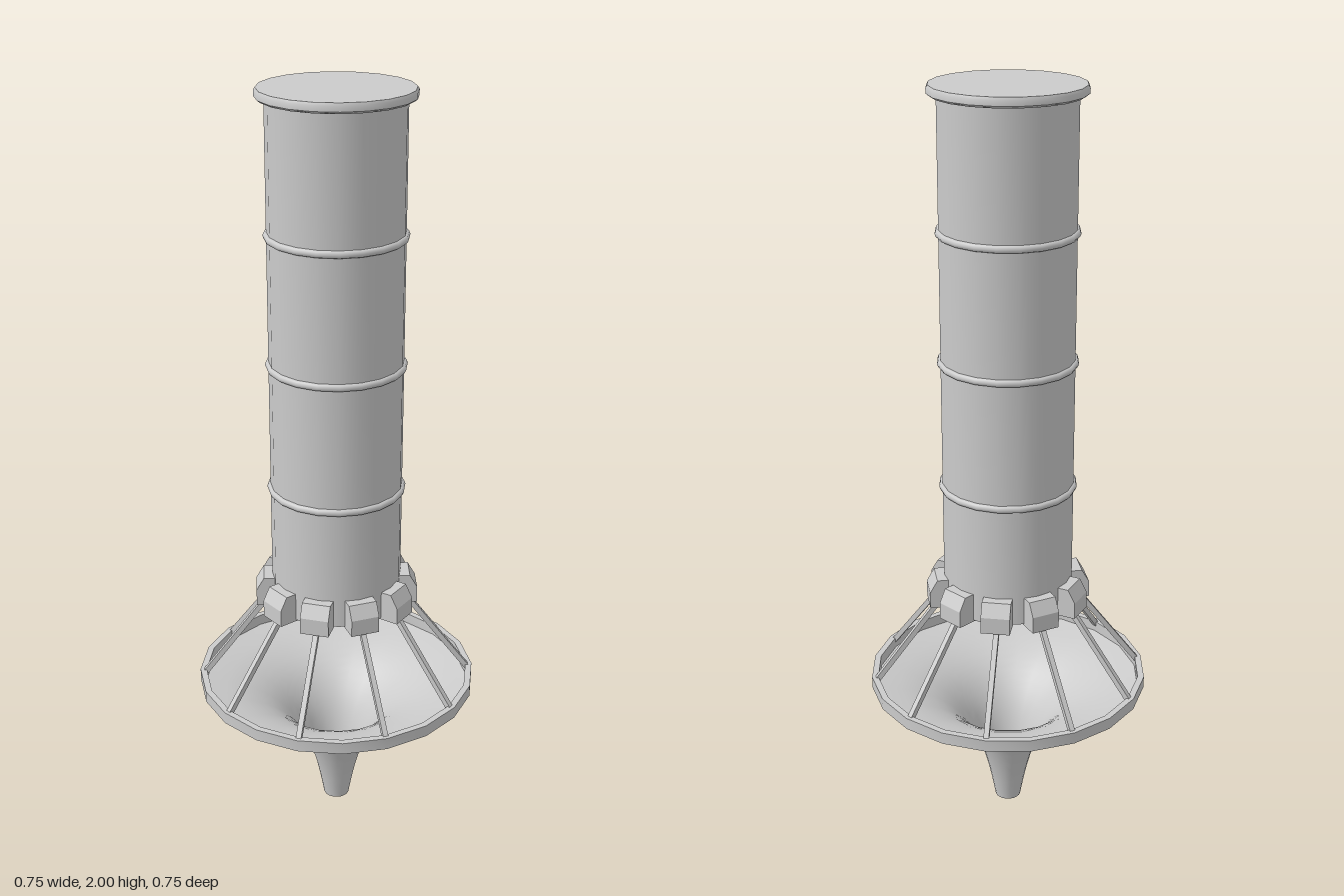
import * as THREE from 'three';
import { toCreasedNormals } from 'three/addons/utils/BufferGeometryUtils.js';

const SIDES = 20;

export function createModel() {
  const model = new THREE.Group();
  const mat = new THREE.MeshStandardMaterial({ color: 0xcccccc });
  const thinMat = new THREE.MeshStandardMaterial({ color: 0xcccccc, side: THREE.DoubleSide });

  const add = (name, geometry, parent = model, material = mat) => {
    const mesh = new THREE.Mesh(geometry, material);
    mesh.name = name;
    parent.add(mesh);
    return mesh;
  };
  const lathe = (points, crease = 0.6) => toCreasedNormals(
    new THREE.LatheGeometry(points.map(([r, y]) => new THREE.Vector2(r, y)), SIDES), crease);

  // Flared funnel, one thin skin seen from inside and outside
  const flare = new THREE.SplineCurve([
    [0.035, 0], [0.055, 0.1], [0.086, 0.2], [0.127, 0.27],
    [0.185, 0.325], [0.265, 0.363], [0.36, 0.385],
  ].map(([r, y]) => new THREE.Vector2(r, y))).getPoints(18).map((p) => [p.x, p.y]);
  add('funnel', lathe([[0, 0], ...flare]), model, thinMat);

  // Flat band around the funnel mouth
  add('funnelRim', lathe([[0.358, 0.383], [0.375, 0.383], [0.375, 0.415], [0.358, 0.415], [0.358, 0.383]]));

  // Tall closed column with a rounded lip at the top
  add('column', lathe([[0, 0.64], [0.172, 0.64], [0.172, 1.985], [0, 1.985]]));
  add('topCap', lathe([
    [0.17, 1.974], [0.188, 1.974], [0.196, 1.98], [0.196, 1.993], [0.192, 2], [0, 2],
  ], 0.9));

  // Thin hoops along the column
  for (const y of [0.97, 1.308, 1.643]) {
    const hoop = add('columnHoop', new THREE.TorusGeometry(0.171, 0.01, 8, SIDES));
    hoop.rotation.x = Math.PI / 2;
    hoop.position.y = y;
  }

  // Bevelled block, drawn in (radius, height) and extruded across its width
  const width = 0.076;
  const profile = new THREE.Shape([
    [0.15, 0.635], [0.215, 0.635], [0.215, 0.68], [0.195, 0.715], [0.15, 0.715],
  ].map(([r, y]) => new THREE.Vector2(r, y)));
  const block = new THREE.ExtrudeGeometry(profile, { depth: width, bevelEnabled: false });
  block.translate(0, 0, -width / 2).rotateY(-Math.PI / 2);

  // Slanted strut from the block down to the rim
  const top = new THREE.Vector3(0, 0.65, 0.178);
  const foot = new THREE.Vector3(0, 0.405, 0.363);
  const strut = new THREE.BoxGeometry(0.014, 0.014, top.distanceTo(foot));

  for (let i = 0; i < 10; i++) {
    const support = new THREE.Group();
    support.name = 'support';
    support.rotation.y = (i * Math.PI) / 5;
    add('collarBlock', block, support);
    const bar = add('strut', strut, support);
    bar.position.copy(top).add(foot).multiplyScalar(0.5);
    bar.rotation.x = Math.atan2(top.y - foot.y, foot.z - top.z);
    model.add(support);
  }
  return model;
}
